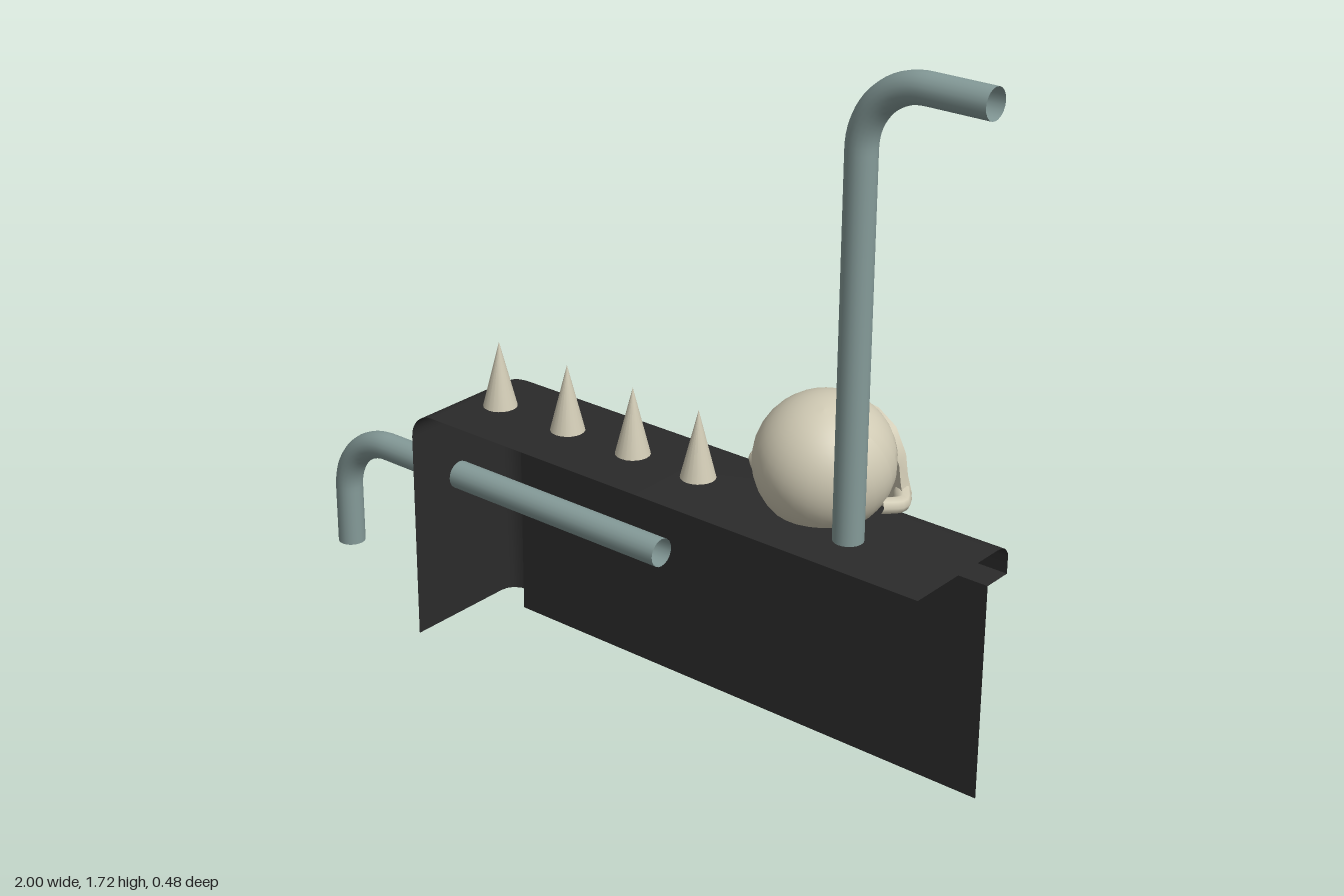
import * as THREE from 'three';
import { toCreasedNormals } from 'three/addons/utils/BufferGeometryUtils.js';

const charcoal = new THREE.MeshStandardMaterial({ name: 'charcoal', color: 0x2b2b2b, side: THREE.DoubleSide });
const bone = new THREE.MeshStandardMaterial({ name: 'bone', color: 0xd0cab4 });
const steel = new THREE.MeshStandardMaterial({ name: 'pipe grey', color: 0x859b99, side: THREE.DoubleSide });

function add(parent, name, geometry, material, x = 0, y = 0, z = 0) {
  const mesh = new THREE.Mesh(geometry, material);
  mesh.name = name;
  mesh.position.set(x, y, z);
  parent.add(mesh);
  return mesh;
}

// Moves every vertex by a rule
function deform(geometry, rule) {
  const p = geometry.attributes.position;
  const v = new THREE.Vector3();
  for (let i = 0; i < p.count; i++) {
    rule(v.fromBufferAttribute(p, i));
    p.setXYZ(i, v.x, v.y, v.z);
  }
  geometry.computeVertexNormals();
  return geometry;
}

// Rim: a lip profile swept up the end wall, round the corner and along the top
function rimGeometry() {
  const profile = [[0, 0.235], [0, -0.07], [0.03, -0.087], [0.12, -0.103], [0.3, -0.113], [0.45, -0.115], [1, -0.115], [1, -0.038]];
  const positions = [], index = [], arc = 8, cols = arc + 3;
  for (const [t, z] of profile) {
    const left = -0.55 + 0.11 * t, top = 0.62 - 0.075 * t;
    const r = 0.065 * (1 - t) + 0.004;
    positions.push(left, 0, z);
    for (let i = 0; i <= arc; i++) {
      const a = Math.PI * (1 - i / arc / 2);
      positions.push(left + r + r * Math.cos(a), top - r + r * Math.sin(a), z);
    }
    positions.push(0.96, top, z);
  }
  for (let j = 0; j < profile.length - 1; j++) {
    for (let i = 0; i < cols - 1; i++) {
      const a = j * cols + i, b = a + 1, c = a + cols, d = c + 1;
      index.push(a, b, c, b, d, c);
    }
  }
  const g = new THREE.BufferGeometry();
  g.setAttribute('position', new THREE.Float32BufferAttribute(positions, 3));
  g.setIndex(index);
  return toCreasedNormals(g, 0.7);
}

// Open pipe rising at x0, bending round and running level to x1
function pipeGeometry(x0, y0, x1, y1, z, r) {
  const s = Math.sign(x1 - x0), k = 0.45 * r;
  const P = (x, y) => new THREE.Vector3(x, y, z);
  const path = new THREE.CurvePath();
  path.add(new THREE.LineCurve3(P(x0, y0), P(x0, y1 - r)));
  path.add(new THREE.CubicBezierCurve3(P(x0, y1 - r), P(x0, y1 - k), P(x0 + s * k, y1), P(x0 + s * r, y1)));
  path.add(new THREE.LineCurve3(P(x0 + s * r, y1), P(x1, y1)));
  return new THREE.TubeGeometry(path, 80, 0.036, 20);
}

// One half of the face, with eye opening, half a nose opening and teeth
function faceGeometry() {
  const pts = (list) => list.map(([x, y]) => new THREE.Vector2(x, y));
  const shape = new THREE.Shape(pts([
    [0, 0.065], [0.07, 0.065], [0.125, 0.05], [0.16, 0], [0.168, -0.06], [0.185, -0.1],
    [0.15, -0.14], [0.125, -0.165], [0.12, -0.235], [0.105, -0.26], [0.088, -0.24],
    [0.075, -0.265], [0.055, -0.243], [0.035, -0.268], [0.016, -0.248], [0, -0.262],
    [0, -0.145], [0.024, -0.14], [0, -0.1],
  ]));
  shape.holes.push(new THREE.Path(pts([
    [0.035, -0.065], [0.055, -0.085], [0.095, -0.085], [0.128, -0.025], [0.105, 0], [0.05, 0.008],
  ])));
  const g = new THREE.ExtrudeGeometry(shape, { depth: 0.04, bevelEnabled: false });
  deform(g, (v) => { v.z += 0.115 - 2.5 * v.x * v.x + 0.02 * Math.exp(-(((v.y + 0.09) / 0.05) ** 2) - (v.x / 0.04) ** 2); });
  return toCreasedNormals(g, 0.7);
}

function createSkull() {
  const skull = new THREE.Group();
  skull.name = 'skull';

  // Cranium, cut back behind the face
  const cranium = new THREE.SphereGeometry(1, 32, 24);
  cranium.scale(0.165, 0.16, 0.168);
  deform(cranium, (v) => {
    v.z = Math.min(v.z, 0.06 + 0.12 * THREE.MathUtils.smoothstep(v.y, 0, 0.05));
  });
  add(skull, 'cranium', cranium, bone);

  for (const side of [1, -1]) {
    const half = new THREE.Group();
    half.name = side > 0 ? 'leftFace' : 'rightFace';
    half.scale.x = side;
    add(half, 'faceHalf', faceGeometry(), bone);
    const arch = new THREE.CatmullRomCurve3([
      new THREE.Vector3(0.165, -0.09, 0.06), new THREE.Vector3(0.18, -0.085, 0.02), new THREE.Vector3(0.145, -0.06, -0.03),
    ]);
    add(half, 'cheekArch', new THREE.TubeGeometry(arch, 8, 0.02, 8), bone);
    add(half, 'eyeSocket', new THREE.BoxGeometry(0.11, 0.11, 0.006), charcoal, 0.08, -0.04, 0.067);
    skull.add(half);
  }
  add(skull, 'noseSocket', new THREE.BoxGeometry(0.06, 0.06, 0.006), charcoal, 0, -0.125, 0.112);

  skull.rotation.set(-0.35, Math.PI + 0.2, 0.12, 'YXZ');
  skull.position.set(0.53, 0.73, -0.01);
  return skull;
}

export function createModel() {
  const model = new THREE.Group();
  model.name = 'spikedBarrier';

  // Open casing with a recessed back panel
  add(model, 'casingRim', rimGeometry(), charcoal);
  add(model, 'backPanel', new THREE.PlaneGeometry(1.4, 0.545), charcoal, 0.26, 0.2725, -0.038);

  // Pipes
  add(model, 'tallPipe', pipeGeometry(0.68, 0.6, 1, 1.687, 0.1, 0.16), steel);
  add(model, 'sidePipe', pipeGeometry(-0.964, 0.07, 0.12, 0.39, 0.074, 0.16), steel);

  // Spikes
  for (const x of [-0.408, -0.184, 0.024, 0.224]) {
    add(model, 'spike', new THREE.ConeGeometry(0.048, 0.19, 20), bone, x, 0.695, 0.066);
  }

  model.add(createSkull());
  return model;
}
